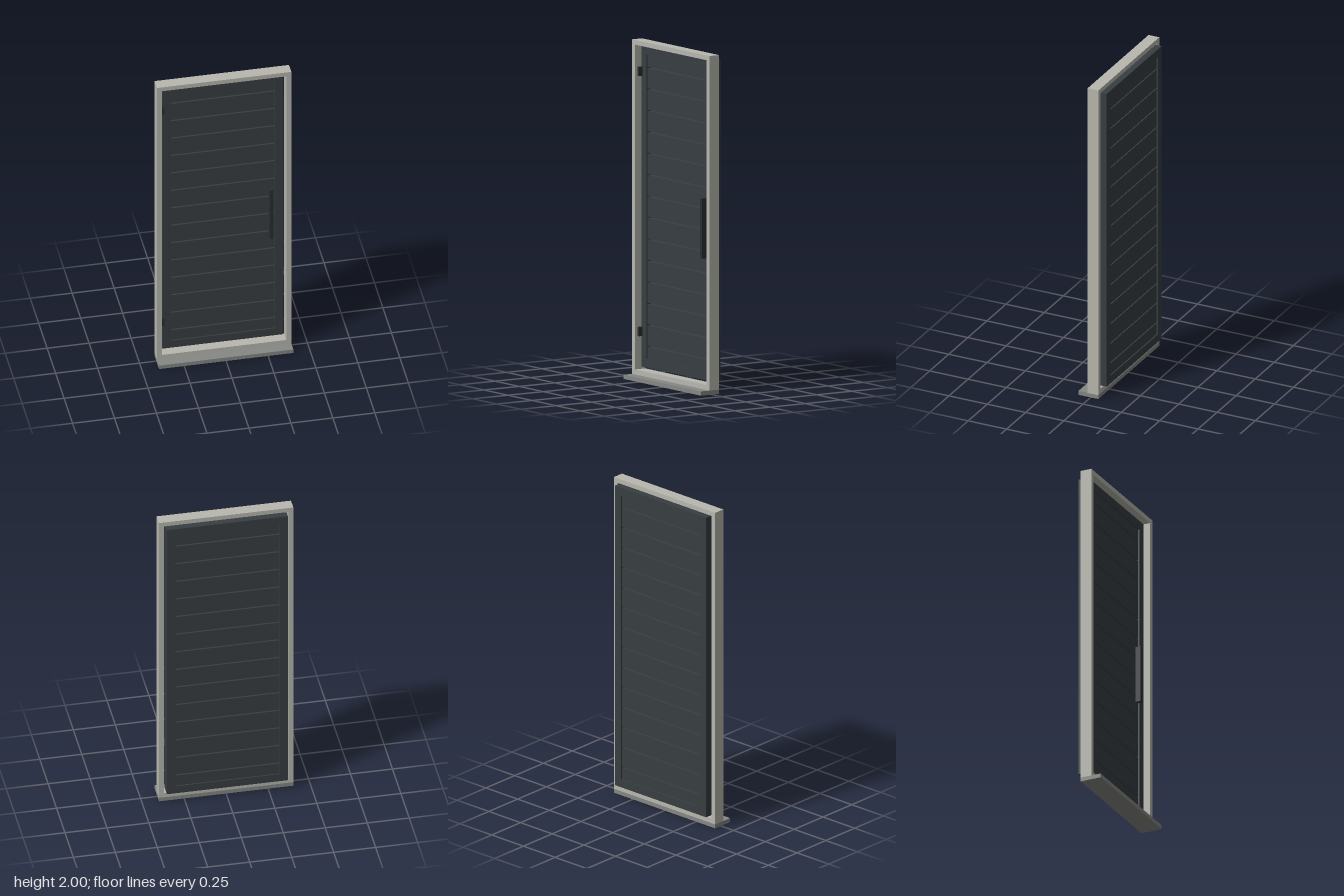
import * as THREE from 'three';

const mat = (color) => new THREE.MeshStandardMaterial({ color });

// Rectangle drawn as a shape or a hole
function rect(target, x0, y0, x1, y1) {
  target.moveTo(x0, y0);
  target.lineTo(x1, y0);
  target.lineTo(x1, y1);
  target.lineTo(x0, y1);
  target.closePath();
  return target;
}

// Rectangular ring [x0, y0, x1, y1] extruded from z0 to z1
function ring(name, outer, inner, z0, z1, material) {
  const shape = rect(new THREE.Shape(), ...outer);
  shape.holes.push(rect(new THREE.Path(), ...inner));
  const geo = new THREE.ExtrudeGeometry(shape, { depth: z1 - z0, bevelEnabled: false });
  geo.translate(0, 0, z0);
  const mesh = new THREE.Mesh(geo, material);
  mesh.name = name;
  return mesh;
}

// Box given by its limits on each axis
function box(name, [x0, x1], [y0, y1], [z0, z1], material) {
  const mesh = new THREE.Mesh(new THREE.BoxGeometry(x1 - x0, y1 - y0, z1 - z0), material);
  mesh.position.set((x0 + x1) / 2, (y0 + y1) / 2, (z0 + z1) / 2);
  mesh.name = name;
  return mesh;
}

export function createModel() {
  const model = new THREE.Group();
  model.name = 'slattedDoor';
  const stone = mat(0xb8b8b0);
  const sillGrey = mat(0x858884);
  const anthracite = mat(0x383e42);
  const darkMetal = mat(0x2a2d30);

  // Fixed surround and projecting sill
  model.add(ring('doorFrame', [-0.4, 0.025, 0.4, 2], [-0.37, 0.055, 0.37, 1.972], -0.05, 0.02, stone));
  model.add(box('sill', [-0.4, 0.4], [0, 0.025], [-0.05, 0.08], sillGrey));

  // Door leaf: outer ring with recessed slats
  const leaf = new THREE.Group();
  leaf.name = 'doorLeaf';
  const zBack = -0.085, zFront = -0.02, recess = 0.008;
  const bottom = 0.12, top = 1.915;
  leaf.add(ring('leafFrame', [-0.36, 0.07, 0.36, 1.968], [-0.31, bottom, 0.31, top], zBack, zFront, anthracite));

  // Evenly pitched slats with open slits; the end slats are shorter
  const slits = 14, pitch = 0.1266, firstSlit = 0.195, gap = 0.008;
  for (let i = 0; i <= slits; i++) {
    const y0 = i === 0 ? bottom : firstSlit + (i - 1) * pitch + gap / 2;
    const y1 = i === slits ? top : firstSlit + i * pitch - gap / 2;
    leaf.add(box('slat', [-0.31, 0.31], [y0, y1], [zBack + recess, zFront - recess], anthracite));
  }

  // Long pull handle
  leaf.add(box('handle', [0.277, 0.298], [0.79, 1.143], [zFront - recess, 0.003], darkMetal));
  model.add(leaf);

  // Hinges bridging leaf and frame
  for (const y of [0.278, 1.814]) {
    model.add(box('hinge', [-0.373, -0.352], [y - 0.027, y + 0.027], [-0.025, 0.003], darkMetal));
  }
  return model;
}
